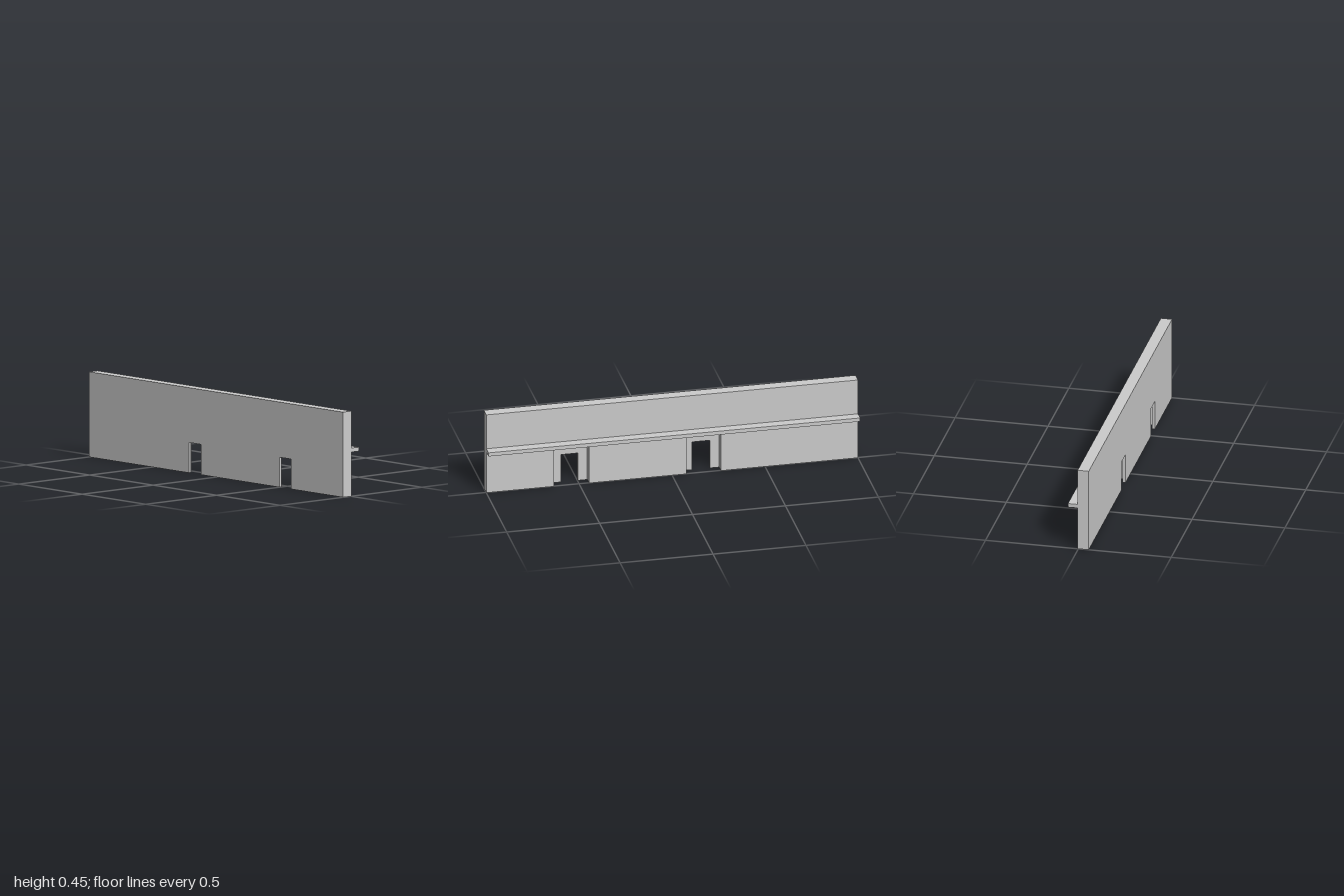
import * as THREE from 'three';

const material = new THREE.MeshStandardMaterial({ color: 0xcccccc, flatShading: true });
const HEIGHT = 0.452;
const BACK = -0.056, REBATE = -0.041, FACE = 0.004, LEDGE = 0.056;

// Each doorway: z edges and height of the wide recess and the narrow opening
const doorways = [
  { recess: [0.635, 0.447, 0.229], opening: [0.589, 0.498, 0.159] },
  { recess: [-0.077, -0.262, 0.229], opening: [-0.118, -0.213, 0.161] },
];

// Full-length wall slab from x0 to x1 with notches cut up from its base
function wallLayer(name, x0, x1, notches) {
  const shape = new THREE.Shape();
  shape.moveTo(-1, 0);
  for (const [zStart, zEnd, top] of notches) {
    shape.lineTo(-zStart, 0);
    shape.lineTo(-zStart, top);
    shape.lineTo(-zEnd, top);
    shape.lineTo(-zEnd, 0);
  }
  shape.lineTo(1, 0);
  shape.lineTo(1, HEIGHT);
  shape.lineTo(-1, HEIGHT);
  shape.closePath();
  const geometry = new THREE.ExtrudeGeometry(shape, { depth: x1 - x0, bevelEnabled: false });
  geometry.rotateY(Math.PI / 2); // shape x becomes -z, depth becomes +x
  geometry.translate(x0, 0, 0);
  const mesh = new THREE.Mesh(geometry, material);
  mesh.name = name;
  return mesh;
}

export function createModel() {
  const group = new THREE.Group();
  group.name = 'wallWithLedge';

  // Thin back layer with the narrow openings, thick layer with the wide recesses
  group.add(wallLayer('wallBackLayer', BACK, REBATE, doorways.map((d) => d.opening)));
  group.add(wallLayer('wallFaceLayer', REBATE, FACE, doorways.map((d) => d.recess)));

  // Ledge running the whole length above the doorways
  const ledge = new THREE.Mesh(new THREE.BoxGeometry(LEDGE - FACE, 0.021, 2), material);
  ledge.name = 'ledge';
  ledge.position.set((FACE + LEDGE) / 2, 0.245, 0);
  group.add(ledge);

  return group;
}
